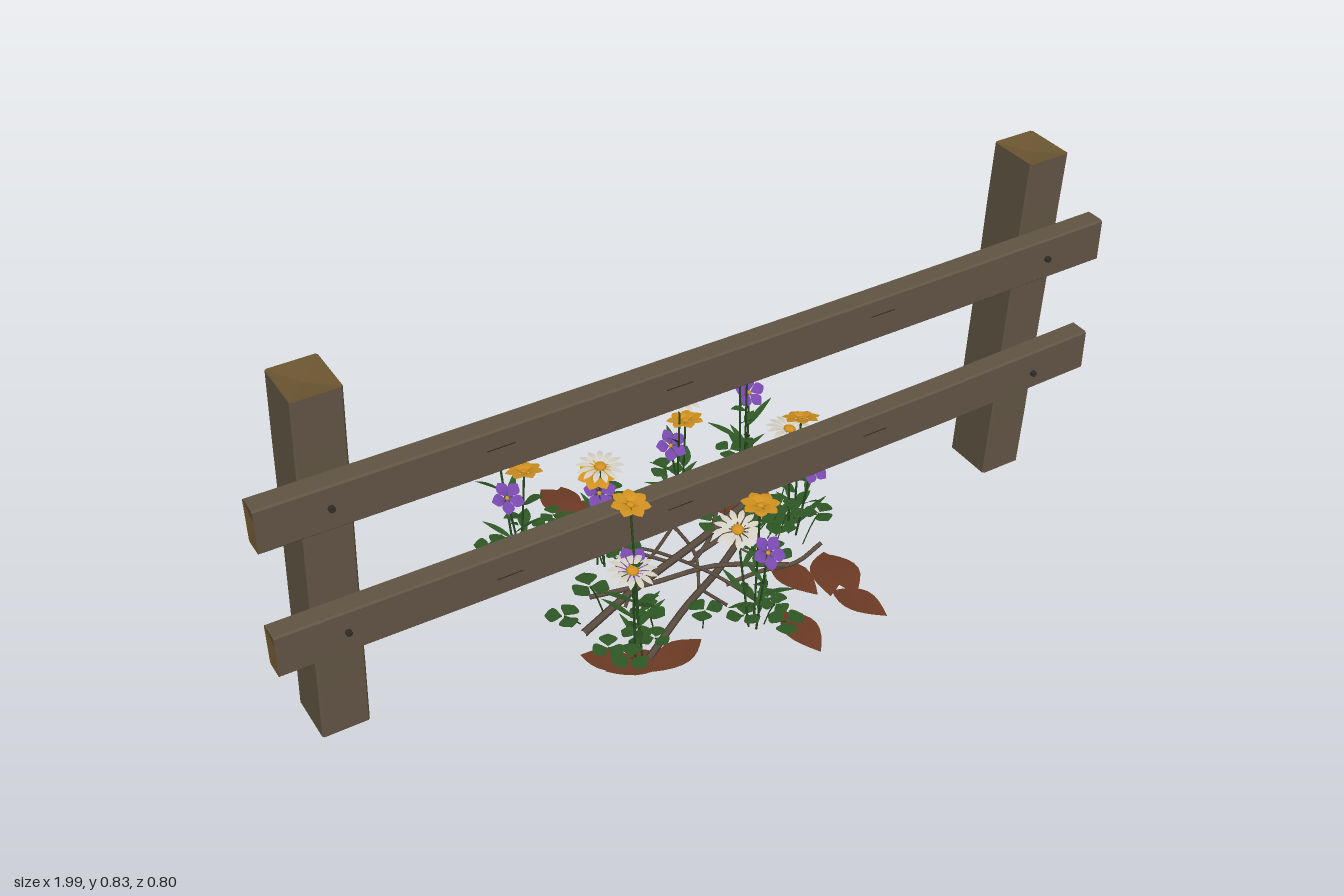
import * as THREE from 'three';
import { mergeGeometries } from 'three/addons/utils/BufferGeometryUtils.js';

const mat = (name, color, open) => {
  const m = new THREE.MeshStandardMaterial({ color });
  m.name = name;
  if (open) m.side = THREE.DoubleSide;
  return m;
};

// Chamfered beam with dished ends through stations [t, u, v]; alongY makes a post, otherwise a rail along x
function beam(stations, hu, hv, alongY, dish, c = 0.004) {
  const ring = [[hu, -hv + c], [hu, hv - c], [hu - c, hv], [-hu + c, hv],
    [-hu, hv - c], [-hu, -hv + c], [-hu + c, -hv], [hu - c, -hv]];
  const at = (s, p) => {
    const t = s[0], u = s[1] + p[0], v = s[2] + p[1];
    return alongY ? [v, t, u] : [t, u, v];
  };
  const pos = [];
  const n = ring.length, last = stations.length - 1;
  for (let s = 0; s < last; s++) {
    for (let i = 0; i < n; i++) {
      const a = at(stations[s], ring[i]), b = at(stations[s], ring[(i + 1) % n]);
      const d = at(stations[s + 1], ring[i]), e = at(stations[s + 1], ring[(i + 1) % n]);
      pos.push(...a, ...b, ...e, ...a, ...e, ...d);
    }
  }
  const sides = pos.length / 3;
  for (const [s, flip] of [[stations[0], true], [stations[last], false]]) {
    const tip = at([s[0] + (flip ? dish : -dish), s[1], s[2]], [0, 0]);
    for (let i = 0; i < n; i++) {
      const a = at(s, ring[i]), b = at(s, ring[(i + 1) % n]);
      pos.push(...tip, ...(flip ? b : a), ...(flip ? a : b));
    }
  }
  const g = new THREE.BufferGeometry();
  g.setAttribute('position', new THREE.Float32BufferAttribute(pos, 3));
  g.addGroup(0, sides, 0);
  g.addGroup(sides, pos.length / 3 - sides, 1);
  g.computeVertexNormals();
  return g;
}

// Leaf or petal lying along +z from the origin; peak moves its widest point, arch bends it, fold creases it
function blade(length, width, peak = 1, arch = 0, fold = 0) {
  const g = new THREE.PlaneGeometry(1, 1, 2, 8);
  const p = g.attributes.position;
  for (let i = 0; i < p.count; i++) {
    const side = p.getX(i) * 2, t = 0.5 - p.getY(i);
    const w = Math.sin(Math.PI * Math.pow(t, peak)) * 0.5 * width + 0.0006;
    p.setXYZ(i, side * w, arch * Math.sin(Math.PI * t) + fold * Math.abs(side) * w, t * length);
  }
  g.computeVertexNormals();
  return g;
}

// Petals set around the y axis
function rosette(count, petal, lift, start) {
  const list = [];
  for (let i = 0; i < count; i++) {
    list.push(petal.clone().rotateX(-lift).translate(0, 0, start).rotateY(i * 2 * Math.PI / count));
  }
  return mergeGeometries(list);
}

export function createModel() {
  const wood = mat('weathered wood', 0x615444), grain = mat('end grain', 0x6c5632);
  const dark = mat('dark iron and cracks', 0x352d26), twigMat = mat('twig bark', 0x5b4d40);
  const stemMat = mat('stem green', 0x274a1e), leafMat = mat('leaf green', 0x2f5725, true);
  const white = mat('white petals', 0xd4cfc2, true), yellow = mat('golden petals', 0xd2921f, true);
  const purple = mat('violet petals', 0x7848ac, true), brown = mat('dry leaf', 0x6c3b25, true);

  let seed = 7;
  const rnd = (a = 0, b = 1) => {
    seed = (seed * 16807) % 2147483647;
    return a + (b - a) * seed / 2147483647;
  };
  const V = (x, y, z) => new THREE.Vector3(x, y, z);
  const model = new THREE.Group();
  model.name = 'fenceWithFlowers';
  const add = (name, geo, material, parent = model) => {
    const m = new THREE.Mesh(geo, material);
    m.name = name;
    parent.add(m);
    return m;
  };

  // Fence posts, leaning a little
  const posts = [['rightPost', -0.866, -0.833], ['leftPost', 0.823, 0.86]];
  for (const [name, x0, x1] of posts) {
    const stations = [0.006, 0.15, 0.28, 0.55, 0.69, 0.829].map((y, i) =>
      [y, 0.0125 + (i % 2 ? 0.001 : 0), x0 + (x1 - x0) * y / 0.83]);
    add(name, beam(stations, 0.0625, 0.052, true, 0.01), [wood, grain]);
    for (const y of [0.2, 0.37, 0.5, 0.63]) {
      add('postCrack', new THREE.BoxGeometry(0.003, 0.025, 0.002), dark)
        .position.set(x0 + (x1 - x0) * y / 0.83 + rnd(-0.03, 0.03), y, -0.0495);
    }
  }

  // Sagging rails with nails and cracks on both faces
  const rails = [['upperRail', 0.607, 0.6, 0.607], ['lowerRail', 0.3, 0.293, 0.31]];
  for (const [name, a, b, c] of rails) {
    const stations = [-0.997, -0.6, -0.2, 0.2, 0.6, 0.997].map(x => {
      const end = x < 0 ? a : c;
      return [x, b + (end - b) * x * x, 0.096];
    });
    add(name, beam(stations, 0.051, 0.0245, false, 0.008), [wood, grain]);
    for (const x of [-0.85, 0.845]) {
      add('nail', new THREE.CylinderGeometry(0.007, 0.007, 0.01, 8).rotateX(Math.PI / 2), dark)
        .position.set(x, a, 0.124);
    }
    for (const x of [-0.5, -0.1, 0.4]) {
      for (const z of [0.1205, 0.0715]) {
        add('railCrack', new THREE.BoxGeometry(0.06, 0.002, 0.002), dark).position.set(x, b + rnd(-0.02, 0.02), z);
      }
    }
  }

  // Flower kinds: petals, petal colour, heart radius, stem leaf
  const broadLeaf = blade(0.055, 0.03, 0.9, 0.004, 0.15), slimLeaf = blade(0.085, 0.016, 0.9, 0.003, 0.15);
  const kinds = {
    daisy: [rosette(13, blade(0.045, 0.013, 1.4, 0.004), 0.02, 0.009), white, 0.014, slimLeaf],
    goldFlower: [mergeGeometries([rosette(7, blade(0.038, 0.026, 1.4, 0.003), 0.12, 0.005),
      rosette(5, blade(0.024, 0.018, 1.4, 0.003), 0.45, 0.004)]), yellow, 0.009, broadLeaf],
    violetFlower: [rosette(5, blade(0.037, 0.028, 1.3, 0.004), 0.2, 0.003), purple, 0.005, slimLeaf],
  };
  const heart = new THREE.SphereGeometry(1, 10, 6);

  function flower(kind, bx, bz, x, y, z) {
    const [petals, material, r, stemLeaf] = kinds[kind];
    const plant = new THREE.Group();
    plant.name = kind;
    const curve = new THREE.CatmullRomCurve3([V(bx, 0.006, bz),
      V(bx * 0.5 + x * 0.5, y * 0.5, bz * 0.5 + z * 0.5), V(x, y, z)]);
    add('stem', new THREE.TubeGeometry(curve, 6, 0.0026, 5), stemMat, plant);
    const turn = rnd(0, 6);
    for (let i = 0; i < 4; i++) {
      const leaf = add('stemLeaf', stemLeaf, leafMat, plant);
      leaf.position.copy(curve.getPoint(0.2 + i * 0.14));
      leaf.rotation.set(-rnd(0.3, 0.75), turn + i * 2.4, 0, 'YXZ');
      leaf.scale.setScalar(rnd(0.75, 1.1));
    }
    const head = new THREE.Group();
    head.name = 'flowerHead';
    add('petals', petals, material, head);
    const disc = add('flowerHeart', heart, yellow, head);
    disc.scale.set(r, r * 0.55, r);
    disc.position.y = 0.002;
    head.position.set(x, y, z);
    head.rotation.set(kind === 'violetFlower' ? 0.85 : rnd(-0.2, 0.2), rnd(0, 1), rnd(-0.18, 0.18));
    plant.add(head);
    model.add(plant);
  }

  // Clumps: base x z, then daisy, gold and violet heads
  const clumps = [
    [-0.25, 0.2, [-0.265, 0.255, 0.205], [-0.24, 0.385, 0.157], [-0.25, 0.245, 0.175]],
    [0.01, 0.24, [-0.01, 0.255, 0.205], [0.012, 0.345, 0.255], [0.02, 0.23, 0.275]],
    [-0.32, -0.22, [-0.34, 0.303, -0.255], [-0.3, 0.25, -0.21], [-0.35, 0.205, -0.2]],
    [-0.17, -0.11, [-0.17, 0.285, -0.1], [-0.175, 0.255, -0.11], [-0.175, 0.215, -0.1]],
    [0.08, -0.18, [0.08, 0.325, -0.18], [0.1, 0.25, -0.19], [0.06, 0.195, -0.19]],
    [0.28, -0.22, [0.285, 0.303, -0.25], [0.265, 0.33, -0.19], [0.31, 0.215, -0.25]],
    [0.26, 0.02, [0.245, 0.3, 0.015], [0.265, 0.33, 0.03], [0.27, 0.22, 0.07]],
  ];
  for (const [bx, bz, d, g, v] of clumps) {
    flower('daisy', bx - 0.01, bz, ...d);
    flower('goldFlower', bx + 0.01, bz - 0.01, ...g);
    flower('violetFlower', bx, bz + 0.015, ...v);
  }

  // Clover with three round leaflets held level
  const cloverGeo = rosette(3, blade(0.036, 0.042, 1.2, 0.001, 0.06), 0.03, 0.003);
  const clover = (x, z) => {
    const y = rnd(0.025, 0.1);
    const curve = new THREE.CatmullRomCurve3([V(x * 0.88, 0.006, z * 0.88), V(x * 0.95, y * 0.7, z * 0.95), V(x, y, z)]);
    add('cloverStalk', new THREE.TubeGeometry(curve, 4, 0.0018, 4), stemMat);
    const leaf = add('clover', cloverGeo, leafMat);
    leaf.position.set(x, y, z);
    leaf.rotation.set(rnd(-0.08, 0.08), rnd(0, 6), rnd(-0.08, 0.08));
    leaf.scale.setScalar(rnd(0.85, 1.15));
  };
  for (const [x, z] of [[0.1, -0.28], [-0.07, -0.25], [-0.28, 0.04], [-0.35, 0.05], [-0.33, 0.21],
    [-0.1, 0.22], [0.14, 0.13], [0.29, 0.08], [0.2, -0.04], [0.09, -0.06], [0.3, -0.06], [0.24, 0.0],
    [-0.22, -0.24], [0.16, -0.1], [0.23, -0.12]]) clover(x, z);
  for (const [bx, bz] of clumps) {
    for (let i = 0; i < 4; i++) clover(bx + rnd(-0.06, 0.06), bz + rnd(-0.055, 0.055));
  }

  // Dry leaves on the ground: x, z, turn, size
  const dryGeo = blade(0.15, 0.076, 0.95, 0.006, 0.06).translate(0, 0, -0.075);
  const dry = [[-0.15, -0.345, 0.15, 1], [-0.12, -0.28, 0.6, 1], [-0.14, -0.33, -0.3, 0.9], [0.09, 0.31, 0, 1],
    [0.17, 0.16, 0.2, 1], [0.24, 0.19, -0.5, 1], [0.25, 0.3, 0.4, 0.95], [0.21, -0.09, 1, 0.95],
    [0.21, -0.22, -0.6, 0.95], [-0.26, 0.22, 1.3, 1], [-0.18, 0.24, 1.8, 0.95], [0.27, 0.21, -0.2, 0.95],
    [-0.31, 0.18, 0.7, 0.9], [0.26, -0.15, 0.3, 0.8]];
  dry.forEach(([x, z, turn, s], i) => {
    const leaf = add('dryLeaf', dryGeo, brown);
    leaf.position.set(x, 0.004 + (i % 3) * 0.004, z);
    leaf.rotation.y = turn;
    leaf.scale.setScalar(s);
  });

  // Twigs: start x z, end x z, radius
  const twigs = [[-0.32, 0.08, 0.24, -0.1, 0.009], [-0.24, 0.22, 0.17, -0.03, 0.008], [-0.25, -0.02, 0.16, 0.14, 0.006],
    [-0.1, -0.14, 0.05, 0.2, 0.004], [0.06, -0.2, -0.04, 0.1, 0.004], [0.02, -0.02, 0.28, -0.06, 0.006],
    [-0.2, 0.05, 0.02, -0.12, 0.004], [0.03, 0.1, 0.27, 0.12, 0.005], [0.0, 0.0, 0.22, -0.16, 0.005]];
  for (const [x0, z0, x1, z1, r] of twigs) {
    const point = (t, y, k) => V(x0 + (x1 - x0) * t + rnd(-k, k), y, z0 + (z1 - z0) * t + rnd(-k, k));
    const curve = new THREE.CatmullRomCurve3([point(0, r + 0.002, 0), point(0.3, rnd(0.018, 0.035), 0.02),
      point(0.65, rnd(0.02, 0.05), 0.02), point(1, rnd(0.015, 0.045), 0)]);
    add('twig', new THREE.TubeGeometry(curve, 14, r, 6), twigMat);
    const from = curve.getPoint(0.5);
    const side = new THREE.CatmullRomCurve3([from, from.clone().add(V(rnd(-0.08, 0.08), 0.015, rnd(-0.1, 0.1)))]);
    add('twigFork', new THREE.TubeGeometry(side, 3, r * 0.5, 5), twigMat);
  }
  return model;
}
